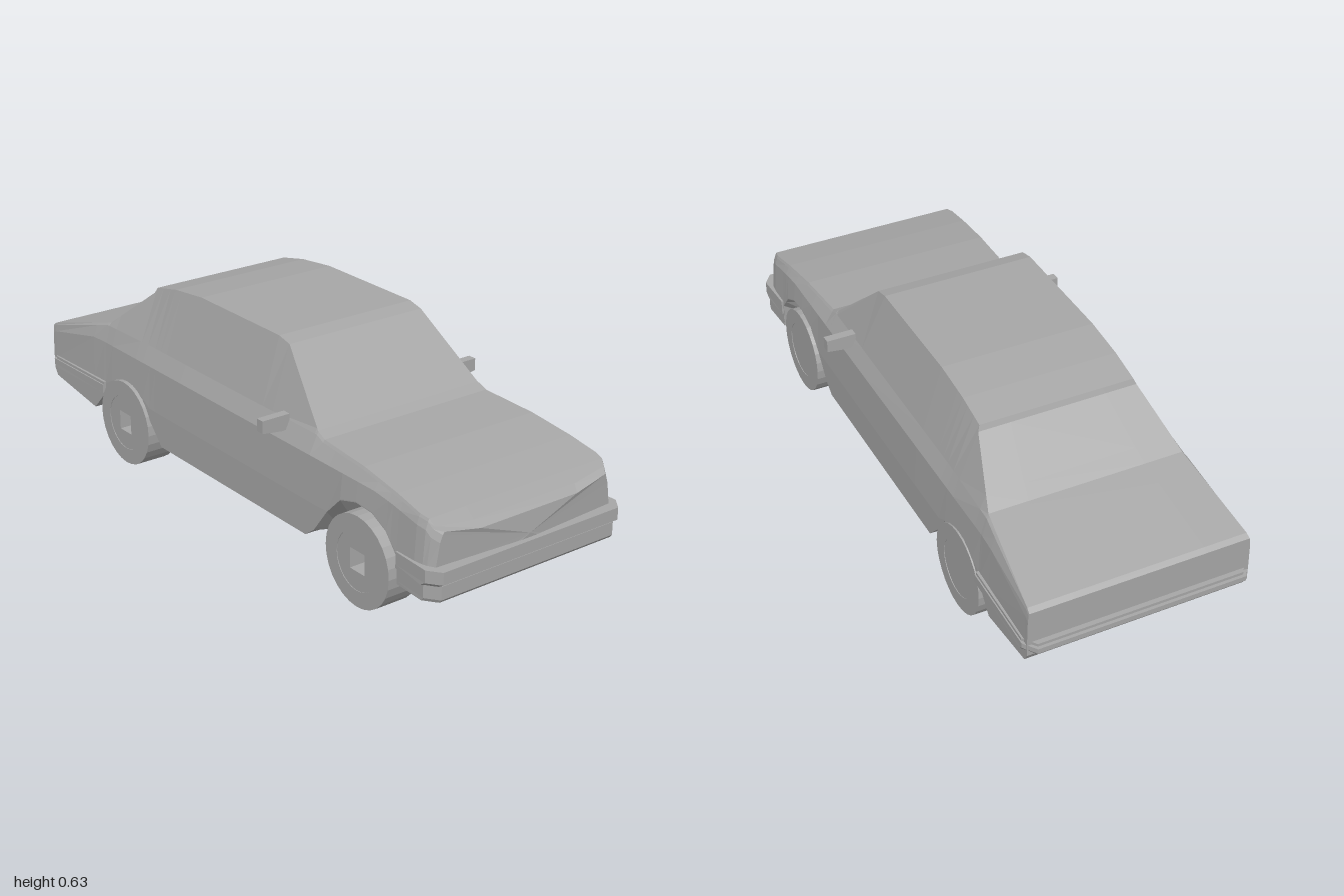
import * as THREE from 'three';

const mat = new THREE.MeshStandardMaterial({ color: 0xa6a6a6, flatShading: true, side: THREE.DoubleSide });

function part(name, geometry, parent) {
  const m = new THREE.Mesh(geometry, mat);
  m.name = name;
  parent.add(m);
  return m;
}

// Body lines as [z, value] pairs, from nose to tail
const lines = {
  top: [[0.985, 0.335], [0.965, 0.347], [0.93, 0.365], [0.8, 0.39], [0.65, 0.41], [0.46, 0.42], [0.425, 0.435], [0.22, 0.618],
    [0.17, 0.63], [-0.23, 0.63], [-0.37, 0.615], [-0.475, 0.592], [-0.482, 0.575], [-0.66, 0.435], [-0.96, 0.352], [-0.975, 0.342]],
  bottom: [[0.985, 0.145], [0.83, 0.145], [0.825, 0.22], [0.78, 0.275], [0.72, 0.305], [0.65, 0.31], [0.58, 0.29], [0.52, 0.23],
    [0.46, 0.15], [0.42, 0.12], [-0.335, 0.12], [-0.4, 0.19], [-0.44, 0.25], [-0.62, 0.25], [-0.67, 0.19], [-0.73, 0.125], [-0.96, 0.165], [-0.975, 0.19]],
  innerBottom: [[0.985, 0.145], [0.83, 0.145], [0.8, 0.22], [0.72, 0.28], [0.65, 0.285], [0.58, 0.25], [0.52, 0.17],
    [0.47, 0.125], [0.42, 0.12], [-0.335, 0.12], [-0.4, 0.19], [-0.44, 0.25], [-0.62, 0.25], [-0.67, 0.19], [-0.73, 0.125], [-0.96, 0.165], [-0.975, 0.19]],
  topWidth: [[0.985, 0.295], [0.965, 0.31], [0.9, 0.322], [0.43, 0.3], [0.22, 0.245], [-0.475, 0.245], [-0.482, 0.252], [-0.66, 0.308], [-0.975, 0.343]],
  beltWidth: [[0.985, 0.3], [0.965, 0.314], [0.9, 0.326], [0.43, 0.306], [-0.4, 0.308], [-0.66, 0.316], [-0.975, 0.345]],
  shoulderWidth: [[0.985, 0.308], [0.965, 0.322], [0.9, 0.333], [-0.66, 0.331], [-0.975, 0.347]],
  midWidth: [[0.985, 0.32], [0.965, 0.332], [0.9, 0.34], [-0.66, 0.339], [-0.975, 0.348]],
  noseDip: [[0.985, -0.02], [0.93, 0], [-0.975, 0]],
};

function at(line, z) {
  for (let i = 1; i < line.length; i++) {
    const [z0, v0] = line[i - 1], [z1, v1] = line[i];
    if (z >= z1) return v0 + (v1 - v0) * (z0 - z) / (z0 - z1);
  }
  return line[line.length - 1][1];
}

// Closed cross-section, anticlockwise seen from the front
function section(z) {
  const v = Object.fromEntries(Object.entries(lines).map(([k, l]) => [k, at(l, z)]));
  const half = [
    [v.midWidth - 0.1, v.innerBottom],
    [v.midWidth, v.bottom],
    [v.midWidth, Math.max(v.bottom + 0.003, 0.23)],
    [v.shoulderWidth, Math.min(v.top - 0.03, 0.37)],
    [v.beltWidth, Math.min(v.top - 0.008, 0.425)],
    [v.topWidth, v.top],
    [v.topWidth * 0.6, v.top + v.noseDip],
  ];
  return [...half, ...half.map(([x, y]) => [-x, y]).reverse()];
}

function bodyGeometry() {
  const stations = [...new Set(Object.values(lines).flat().map(p => p[0]))].sort((a, b) => b - a);
  const pos = [], index = [];
  const n = section(0).length;
  // The nose sweeps back towards its corners
  for (const z of stations) for (const [x, y] of section(z)) pos.push(x, y, z > 0.95 ? z - 0.2 * x * x : z);
  for (let i = 0; i < stations.length - 1; i++) {
    for (let j = 0; j < n; j++) {
      const a = i * n + j, b = i * n + (j + 1) % n;
      index.push(a, a + n, b + n, a, b + n, b);
    }
  }
  // Nose and tail faces
  const last = (stations.length - 1) * n, nose = pos.length / 3;
  pos.push(0, 0.25, stations[0], 0, 0.25, stations[stations.length - 1]);
  for (let j = 0; j < n; j++) {
    const k = (j + 1) % n;
    index.push(nose, j, k, nose + 1, last + k, last + j);
  }
  const g = new THREE.BufferGeometry();
  g.setAttribute('position', new THREE.Float32BufferAttribute(pos, 3));
  g.setIndex(index);
  g.computeVertexNormals();
  return g;
}

// Bumper bar with chamfered corners; z runs from the inner end to the outer face.
// The lower edge is pulled in by tuck.
function barGeometry(inner, outer, width, y0, y1, tuck = 0) {
  const s = Math.sign(outer);
  const half = [[width - 0.006, inner], [width, outer - s * 0.04], [width - 0.03, outer]];
  const pts = [...half, ...half.map(([x, z]) => [-x, z]).reverse()];
  const shape = new THREE.Shape(pts.map(([x, z]) => new THREE.Vector2(x, -z)));
  const g = new THREE.ExtrudeGeometry(shape, { depth: y1 - y0, bevelEnabled: false }).rotateX(-Math.PI / 2).translate(0, y0, 0);
  const p = g.attributes.position;
  for (let i = 0; i < p.count; i++) {
    if (p.getY(i) < (y0 + y1) / 2 && Math.abs(p.getZ(i) - inner) > 0.01) p.setZ(i, p.getZ(i) - s * tuck);
  }
  g.computeVertexNormals();
  return g;
}

function wheel(name, side, z, parent) {
  const g = new THREE.Group();
  g.name = name;
  g.position.set(side > 0 ? 0.29 : -0.298, 0.14, z);
  parent.add(g);
  const profile = [[0.09, -0.053], [0.14, -0.053], [0.14, 0.053], [0.09, 0.053], [0.09, -0.053]];
  part('tyre', new THREE.LatheGeometry(profile.map(p => new THREE.Vector2(...p)), 28).rotateZ(Math.PI / 2), g);
  // Hub disc; the right-hand ones have a square centre opening
  const disc = new THREE.Shape().absarc(0, 0, 0.091, 0, Math.PI * 2);
  if (side < 0) {
    const q = 0.032;
    disc.holes.push(new THREE.Path([[-q, -q], [-q, q], [q, q], [q, -q]].map(p => new THREE.Vector2(...p))));
  }
  const hub = part('hub', new THREE.ExtrudeGeometry(disc, { depth: 0.06, bevelEnabled: false, curveSegments: 14 }).rotateY(Math.PI / 2), g);
  hub.position.x = side > 0 ? -0.009 : -0.051;
}

export function createModel() {
  const car = new THREE.Group();
  car.name = 'car';
  part('body', bodyGeometry(), car);

  // Front bumper: upper bar, undercut groove, lower bar and lip
  part('frontBumperUpper', barGeometry(0.83, 1, 0.352, 0.198, 0.236), car);
  part('frontBumperGroove', barGeometry(0.83, 1, 0.352, 0.186, 0.198, 0.02), car);
  part('frontBumperLower', barGeometry(0.83, 0.988, 0.347, 0.147, 0.188), car);
  part('frontBumperLip', barGeometry(0.83, 0.988, 0.347, 0.137, 0.147, 0.008), car);

  // Rear bumper: slim strip over an undercut
  part('rearBumperUpper', barGeometry(-0.66, -0.99, 0.353, 0.225, 0.237), car);
  part('rearBumperLower', barGeometry(-0.66, -1, 0.357, 0.212, 0.228), car);
  part('rearBumperUndercut', barGeometry(-0.66, -1, 0.357, 0.2, 0.212, 0.015), car);

  for (const side of [1, -1]) {
    const word = side > 0 ? 'left' : 'right';
    wheel(word + 'FrontWheel', side, 0.67, car);
    wheel(word + 'RearWheel', side, -0.53, car);

    // Door mirror, its underside tapering inwards
    const shape = new THREE.Shape([[0.305, 0.445], [0.4, 0.445], [0.4, 0.406], [0.33, 0.397], [0.305, 0.4]]
      .map(([x, y]) => new THREE.Vector2(side * x, y)));
    const mirror = part(word + 'Mirror', new THREE.ExtrudeGeometry(shape, { depth: 0.028, bevelEnabled: false }), car);
    mirror.position.z = 0.272;
  }
  return car;
}
